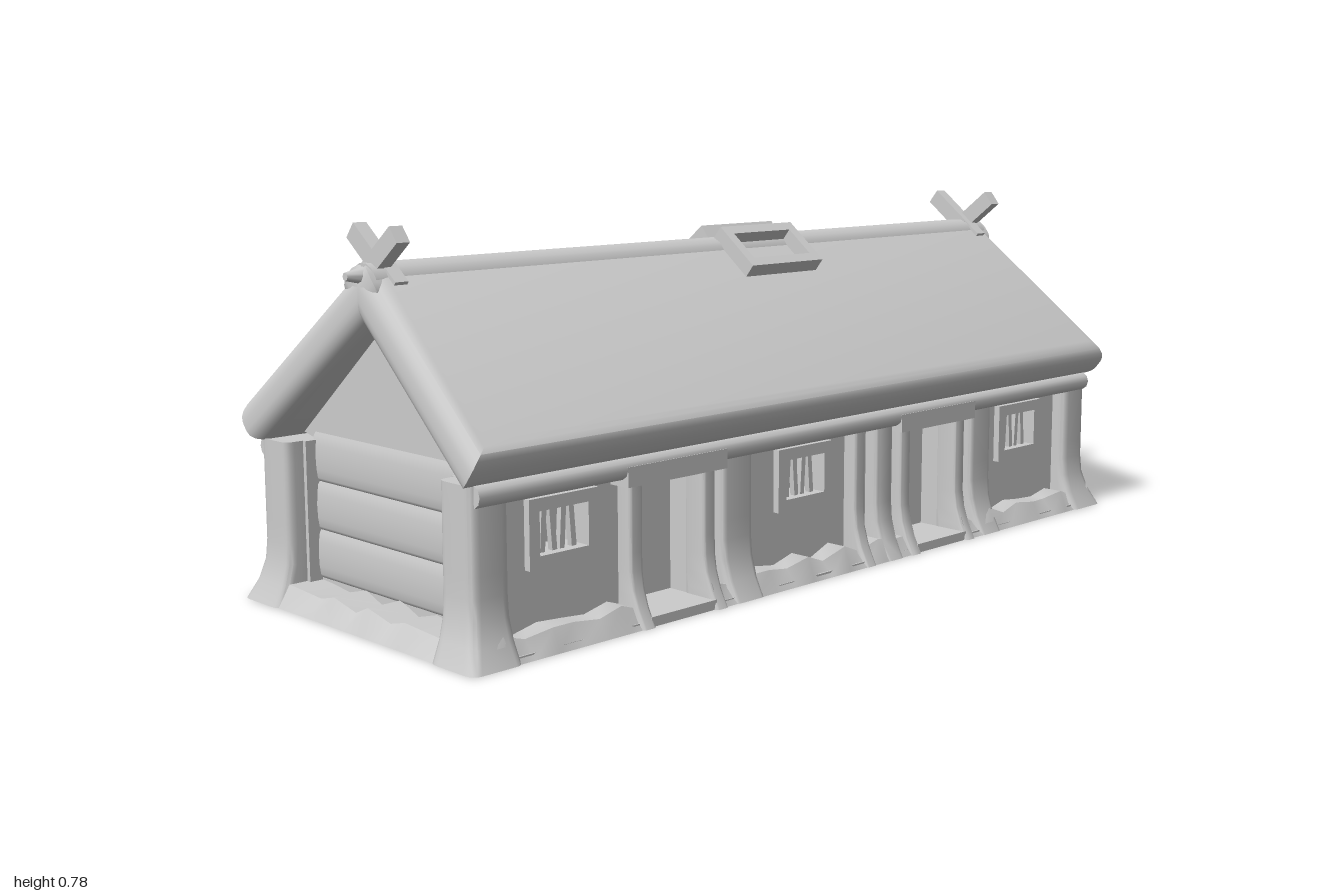
import * as THREE from 'three';
import { toCreasedNormals } from 'three/addons/utils/BufferGeometryUtils.js';

const clay = new THREE.MeshStandardMaterial({ color: 0xcccccc });
clay.name = 'paleClay';

function add(parent, name, geo, x = 0, y = 0, z = 0) {
  const mesh = new THREE.Mesh(geo, clay);
  mesh.name = name;
  mesh.position.set(x, y, z);
  parent.add(mesh);
  return mesh;
}

function group(parent, name) {
  const g = new THREE.Group();
  g.name = name;
  parent.add(g);
  return g;
}

const polygon = (pts) => new THREE.Shape(pts.map(([x, y]) => new THREE.Vector2(x, y)));
const rect = (x0, y0, x1, y1) => polygon([[x0, y0], [x1, y0], [x1, y1], [x0, y1]]);
const extrude = (shape, depth, opts = {}) =>
  new THREE.ExtrudeGeometry(shape, { depth, bevelEnabled: false, ...opts });

function frame(x0, y0, x1, y1, border, depth) {
  const s = rect(x0, y0, x1, y1);
  s.holes.push(rect(x0 + border, y0 + border, x1 - border, y1 - border));
  return extrude(s, depth);
}

// Upright post with rounded corners and an outward flare at its foot
function post(parent, name, x, width, zIn, zOut, height) {
  const w = width / 2, d = (zOut - zIn) / 2, r = Math.min(w, d) * 0.45;
  const s = new THREE.Shape();
  s.moveTo(-w + r, -d).lineTo(w - r, -d).quadraticCurveTo(w, -d, w, -d + r);
  s.lineTo(w, d - r).quadraticCurveTo(w, d, w - r, d);
  s.lineTo(-w + r, d).quadraticCurveTo(-w, d, -w, d - r);
  s.lineTo(-w, -d + r).quadraticCurveTo(-w, -d, -w + r, -d);
  const geo = extrude(s, height, { steps: 8, curveSegments: 4 });
  geo.rotateX(-Math.PI / 2).translate(x, 0, (zIn + zOut) / 2);
  const p = geo.attributes.position;
  for (let i = 0; i < p.count; i++) {
    const k = Math.max(0, 1 - p.getY(i) / 0.12) ** 2;
    const front = Math.max(0, (p.getZ(i) - zIn) / (zOut - zIn));
    p.setZ(i, p.getZ(i) + 0.038 * k * front);
    if (Math.abs(p.getX(i)) > 0.93) p.setX(i, p.getX(i) + Math.sign(x) * 0.03 * k);
  }
  add(parent, name, toCreasedNormals(geo, 0.8));
}

// Uneven foundation strip, wider at the ground
function sill(parent, x0, x1, zIn, zOut) {
  const n = Math.max(3, Math.round((x1 - x0) / 0.06));
  const geo = new THREE.BoxGeometry(x1 - x0, 0.045, zOut - zIn, n, 1, 1);
  geo.translate((x0 + x1) / 2, 0.0225, (zIn + zOut) / 2);
  const p = geo.attributes.position;
  for (let i = 0; i < p.count; i++) {
    if (p.getY(i) < 0.02) continue;
    const x = p.getX(i);
    p.setY(i, 0.042 + 0.012 * Math.sin(x * 47));
    if (p.getZ(i) > (zIn + zOut) / 2) p.setZ(i, zOut - 0.025 + 0.006 * Math.sin(x * 61));
  }
  geo.computeVertexNormals();
  add(parent, 'foundationSill', geo);
}

// One long side, facing local +z
function longWall(parent, name, windows, doors, posts) {
  const g = group(parent, name);
  const s = rect(-0.93, 0, 0.93, 0.335);
  windows.forEach((x) => s.holes.push(rect(x - 0.06, 0.175, x + 0.06, 0.26)));
  doors.forEach((x) => s.holes.push(rect(x - 0.085, 0.02, x + 0.085, 0.28)));
  add(g, 'wallPanel', extrude(s, 0.07), 0, 0, 0.24);
  windows.forEach((x) => {
    add(g, 'windowFrame', frame(x - 0.085, 0.15, x + 0.085, 0.285, 0.025, 0.015), 0, 0, 0.31);
    for (let i = 0; i < 4; i++) {
      const bar = add(g, 'windowBar', new THREE.BoxGeometry(0.012, 0.085, 0.012), x - 0.036 + i * 0.024, 0.2175, 0.3);
      bar.rotation.z = i % 2 ? 0.08 : -0.06;
    }
  });
  doors.forEach((x) => {
    for (const e of [-1, 1]) post(g, 'doorJamb', x + e * 0.1, 0.035, 0.29, 0.345, 0.29);
    add(g, 'doorLintel', new THREE.BoxGeometry(0.27, 0.04, 0.07), x, 0.3, 0.325);
    add(g, 'doorStep', new THREE.BoxGeometry(0.18, 0.02, 0.11), x, 0.01, 0.32);
  });
  posts.forEach(([x, w]) => post(g, 'wallPost', x, w, 0.28, 0.342, 0.335));
  for (const e of [-1, 1]) post(g, 'cornerPost', e * 0.925, 0.09, 0.25, 0.345, 0.335);
  // sill runs between the doorways
  let from = -0.97;
  doors.forEach((x) => { sill(g, from, x - 0.09, 0.28, 0.378); from = x + 0.09; });
  sill(g, from, 0.97, 0.28, 0.378);
  const beam = add(g, 'eaveBeam', new THREE.CylinderGeometry(0.022, 0.022, 1.92, 10), 0, 0.315, 0.338);
  beam.rotation.z = Math.PI / 2;
  return g;
}

// One thatched slope with half of the smoke vent, facing local +z
function roofSlope(parent, name, ventX) {
  const g = group(parent, name);
  g.position.y = 0.715;
  g.rotation.order = 'YXZ';
  g.rotation.x = -Math.atan2(0.78, 0.625);
  const s = polygon([[-0.99, -0.512], [0.99, -0.512], [0.955, 0.01], [-0.955, 0.01]]);
  const geo = extrude(s, 0.02, { bevelEnabled: true, bevelThickness: 0.04, bevelSize: 0.04, bevelOffset: -0.04, bevelSegments: 5 });
  add(g, 'thatch', toCreasedNormals(geo, 0.7), 0, 0, -0.06);
  add(g, 'smokeVentFrame', frame(ventX - 0.115, -0.14, ventX + 0.115, -0.012, 0.024, 0.055), 0, 0, -0.022);
  return g;
}

export function createModel() {
  const house = new THREE.Group();
  house.name = 'longhouse';

  // floor and inner body with gable faces
  add(house, 'floor', new THREE.BoxGeometry(1.95, 0.012, 0.74), 0, 0.006, 0);
  const body = polygon([[-0.245, 0.002], [0.245, 0.002], [0.245, 0.335], [0.29, 0.345], [0, 0.585], [-0.29, 0.345], [-0.245, 0.335]]);
  add(house, 'innerBody', extrude(body, 1.8).translate(0, 0, -0.9).rotateY(Math.PI / 2));

  // long walls
  longWall(house, 'frontWall', [-0.735, -0.06, 0.72], [-0.47, 0.355],
    [[-0.285, 0.09], [0.1, 0.035], [0.185, 0.06], [0.54, 0.08]]);
  longWall(house, 'backWall', [-0.74, 0.05, 0.73], [],
    [[-0.57, 0.06], [-0.25, 0.06], [-0.12, 0.05], [0.21, 0.06], [0.55, 0.06]]).rotation.y = Math.PI;

  // roof
  roofSlope(house, 'frontRoof', 0.095);
  roofSlope(house, 'backRoof', -0.095).rotation.y = Math.PI;
  add(house, 'ridgeCap', new THREE.CylinderGeometry(0.045, 0.045, 1.89, 14).rotateZ(Math.PI / 2), 0, 0.664, 0);

  for (const e of [-1, 1]) {
    // gable end: foundation, log courses
    const gable = group(house, 'gableEnd');
    gable.rotation.y = e * Math.PI / 2;
    sill(gable, -0.26, 0.26, 0.89, 0.995);
    for (const y of [0.1, 0.2, 0.3]) {
      const log = add(gable, 'gableLog', new THREE.CylinderGeometry(0.05, 0.05, 0.5, 12).rotateZ(Math.PI / 2), 0, y, 0.9);
      log.scale.z = 0.16;
    }
    // crossed finial boards and ridge pole tip
    for (const f of [-1, 1]) {
      const board = add(house, 'finialBoard', new THREE.BoxGeometry(0.03, 0.038, 0.17), e * (0.91 + f * 0.008), 0.712, f * 0.015);
      board.rotation.x = -f * 0.67;
    }
    const tip = add(house, 'ridgePoleTip', new THREE.CylinderGeometry(0.008, 0.03, 0.1, 8), e * 0.935, 0.685, 0);
    tip.rotation.z = -e * Math.PI / 2;
  }
  return house;
}
